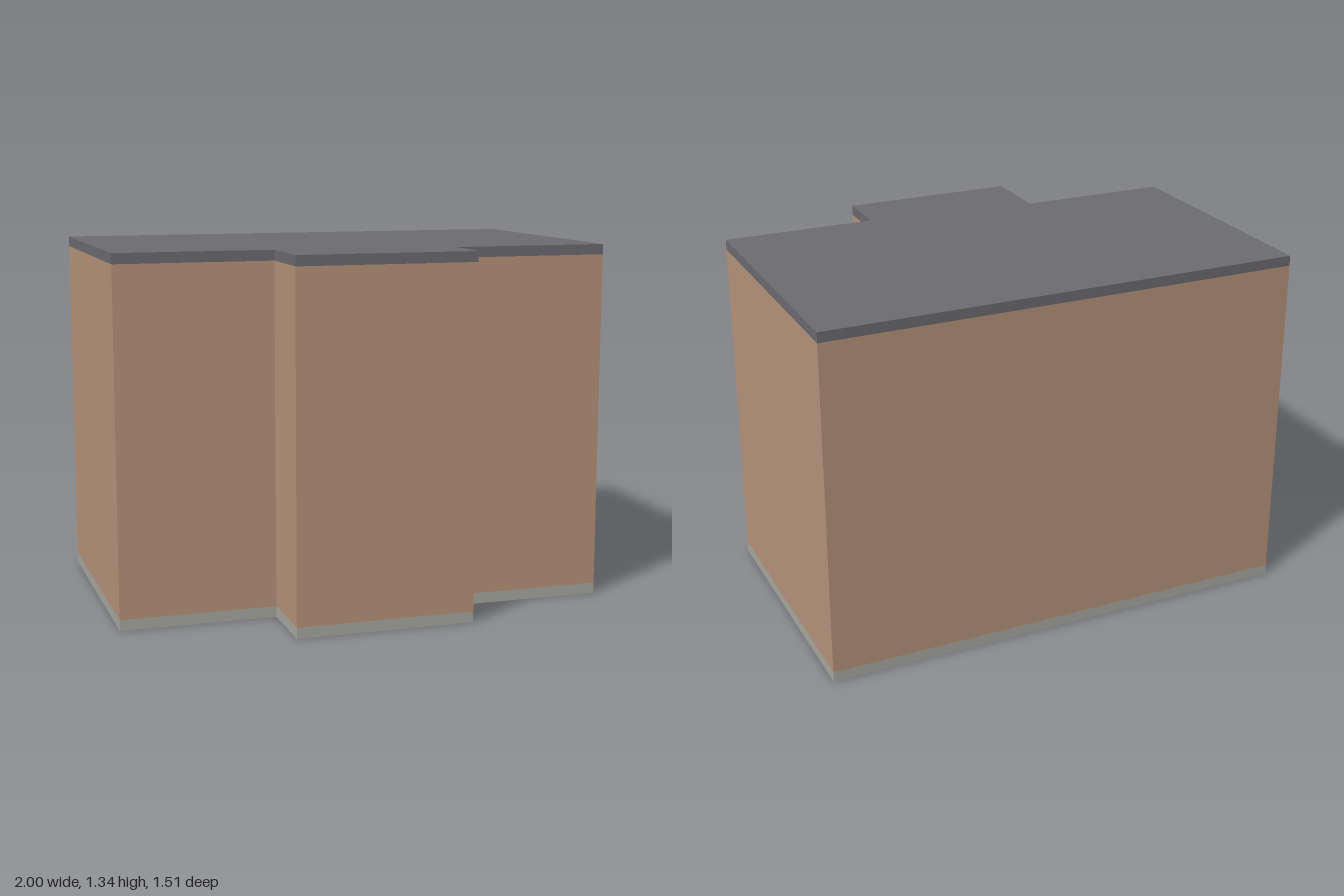
import * as THREE from 'three';

// Floor plan corners as [x, z]: a rotated block with a projecting bay at the front
const PLAN = [
  [-1, 0.207], [-0.44, 0.338], [-0.505, 0.605], [0.14, 0.755],
  [0.19, 0.547], [0.757, 0.682], [1, -0.34], [-0.775, -0.757],
];

function material(name, color) {
  const m = new THREE.MeshStandardMaterial({ color });
  m.name = name;
  return m;
}

// Extrudes the floor plan between two heights
function storey(name, y0, y1, mat) {
  const shape = new THREE.Shape(PLAN.map(([x, z]) => new THREE.Vector2(x, -z)));
  const geo = new THREE.ExtrudeGeometry(shape, { depth: y1 - y0, bevelEnabled: false });
  geo.rotateX(-Math.PI / 2);
  geo.translate(0, y0, 0);
  const mesh = new THREE.Mesh(geo, mat);
  mesh.name = name;
  return mesh;
}

export function createModel() {
  const building = new THREE.Group();
  building.name = 'building';
  building.add(
    storey('plinth', 0, 0.04, material('stone grey', 0xaaaaa3)),
    storey('walls', 0.04, 1.297, material('tan brick', 0xb9957b)),
    storey('flatRoof', 1.297, 1.335, material('slate grey', 0x6d6c72)),
  );
  return building;
}
